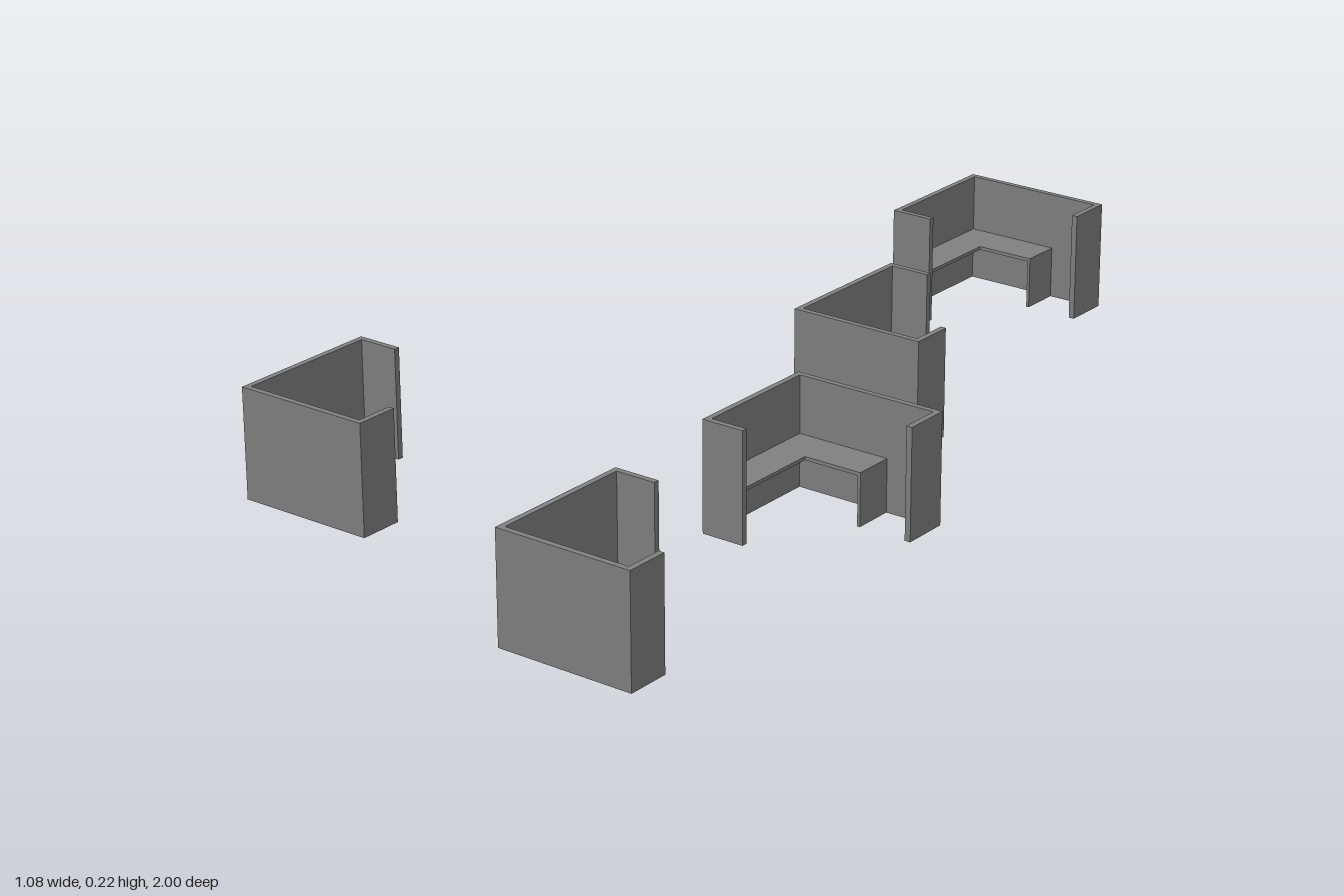
import * as THREE from 'three';

const LONG = 0.32, SHORT = 0.289, WALL = 0.012, HEIGHT = 0.223;
const RETURN_LONG = 0.095, RETURN_SHORT = 0.09;
const DESK_TOP = 0.107, DESK_THICK = 0.007, DESK_END = 0.209;
const DESK_DEPTH_LONG = 0.095, DESK_DEPTH_SHORT = 0.085;

// Extrudes a floor-plan outline of [x, z] points from y = bottom to y = top.
function planSlab(points, bottom, top) {
  const shape = new THREE.Shape(points.map(([x, z]) => new THREE.Vector2(x, z)));
  const geometry = new THREE.ExtrudeGeometry(shape, { depth: top - bottom, bevelEnabled: false });
  return geometry.rotateX(Math.PI / 2).translate(0, top, 0);
}

// One cubicle: outer corner at the origin, long wall along +x, short wall along +z.
function createCubicle(material) {
  const cubicle = new THREE.Group();
  const add = (name, geometry) => {
    const mesh = new THREE.Mesh(geometry, material);
    mesh.name = name;
    cubicle.add(mesh);
  };

  // Partition with a short return at each end
  add('partitionWalls', planSlab([
    [0, 0], [LONG, 0], [LONG, RETURN_LONG], [LONG - WALL, RETURN_LONG],
    [LONG - WALL, WALL], [WALL, WALL], [WALL, SHORT - WALL],
    [RETURN_SHORT, SHORT - WALL], [RETURN_SHORT, SHORT], [0, SHORT],
  ], 0, HEIGHT));

  // L-shaped worktop
  add('desktop', planSlab([
    [WALL, WALL], [DESK_END, WALL], [DESK_END, DESK_DEPTH_LONG],
    [DESK_DEPTH_SHORT, DESK_DEPTH_LONG], [DESK_DEPTH_SHORT, SHORT - WALL],
    [WALL, SHORT - WALL],
  ], DESK_TOP - DESK_THICK, DESK_TOP));

  // Support panel under the free end of the worktop
  add('deskEndPanel', planSlab([
    [DESK_END - 0.006, WALL], [DESK_END, WALL],
    [DESK_END, DESK_DEPTH_LONG], [DESK_END - 0.006, DESK_DEPTH_LONG],
  ], 0, DESK_TOP - DESK_THICK));

  return cubicle;
}

export function createModel() {
  const model = new THREE.Group();
  model.name = 'officeCubicles';
  const grey = new THREE.MeshStandardMaterial({ color: 0x808080 });
  grey.name = 'grey';

  // Corner x, corner z, quarter turns
  const layout = [
    [-0.157, -1.0, 0],
    [0.02, -0.13, 1],
    [0.22, 0.127, 0],
    [-0.541, 0.8, 1],
    [0.235, 1.0, 1],
  ];
  layout.forEach(([x, z, turns], i) => {
    const cubicle = createCubicle(grey);
    cubicle.name = `cubicle${i + 1}`;
    cubicle.position.set(x, 0, z);
    cubicle.rotation.y = turns * Math.PI / 2;
    model.add(cubicle);
  });
  return model;
}
